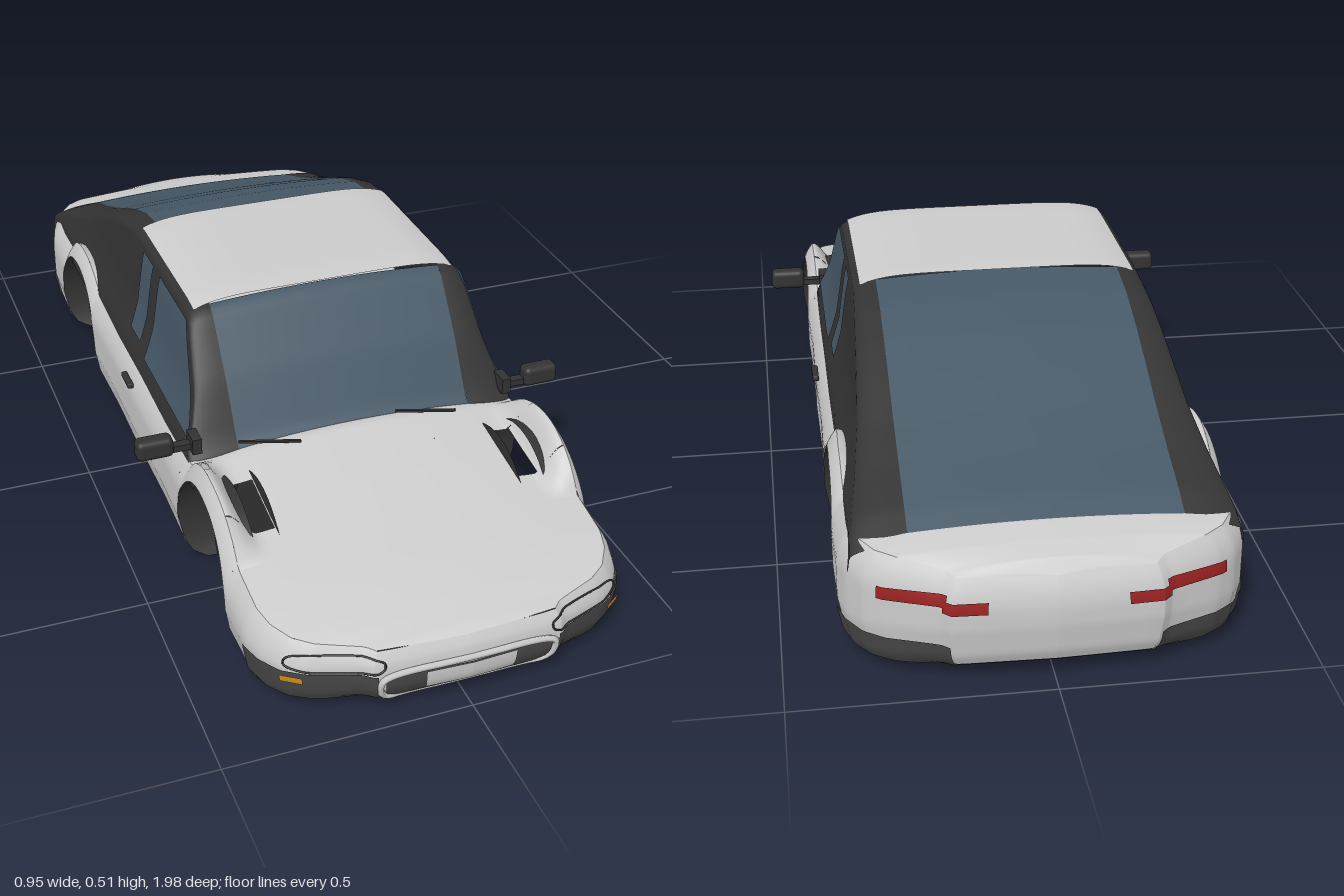
import * as THREE from 'three';
import { RoundedBoxGeometry } from 'three/addons/geometries/RoundedBoxGeometry.js';

const { lerp, clamp, smoothstep } = THREE.MathUtils;
const material = (color) => new THREE.MeshStandardMaterial({ color, side: THREE.DoubleSide });

// Piecewise profile through [position, value] pairs, position ascending
const profile = (pts) => (t) => {
  let i = 1;
  while (i < pts.length - 1 && t > pts[i][0]) i++;
  const [a, b] = [pts[i - 1], pts[i]];
  return lerp(a[1], b[1], clamp((t - a[0]) / (b[0] - a[0]), 0, 1));
};

// Body profiles: plan half width, shoulder height, centre deck height
const corner = [[0.8, 0.39], [0.85, 0.377], [0.9, 0.348], [0.93, 0.31], [0.955, 0.25], [0.97, 0.215], [0.99, 0.195], [1, 0]];
const halfWidth = profile([[0, 0.39], [0.2, 0.388], [0.55, 0.395], [0.7, 0.392], ...corner]);
const zOfX = profile(corner.map(([z, x]) => [x, z]).reverse());
const shoulderBase = profile([[-1, 0.225], [-0.93, 0.25], [-0.86, 0.255], [-0.75, 0.24], [0.4, 0.24],
  [0.55, 0.215], [0.7, 0.195], [0.85, 0.17], [0.95, 0.155], [1, 0.15]]);
const deckCentre = profile([[-1, 0.225], [-0.98, 0.25], [-0.93, 0.262], [-0.86, 0.272], [-0.8, 0.255], [-0.7, 0.24],
  [0.2, 0.24], [0.35, 0.26], [0.4, 0.268], [0.55, 0.243], [0.7, 0.215], [0.8, 0.197], [0.9, 0.178], [0.98, 0.16], [1, 0.15]]);
const tuck = profile([[0, 0.85], [0.015, 0.93], [0.04, 0.97], [0.1, 1]]);

// Wheel arches and the flares above them
const ARCH = 0.525, R = 0.165, CY = 0.097;
const flare = (z) => 0.1 + Math.sqrt(Math.max(0, 0.038 - (Math.abs(z) - ARCH) ** 2));
const shoulder = (z) => Math.max(shoulderBase(z), flare(z));
const bottom = (z) => 0.03 * Math.max(0, (Math.abs(z) - 0.8) / 0.2) ** 2;
const sillTop = (z) => bottom(z) + 0.018;
const archEdge = (c, s, y) => c + s * (y < CY ? Math.sqrt(R * R - (CY - y) ** 2) : R);

// Point on the body side at station z and height y
const zPull = (z, k) => z * (1 - (0.01 + (1 - k) * 0.3) * smoothstep(Math.abs(z), 0.75, 1));
function wall(z, y, off = 0) {
  const k = tuck(y - bottom(z)) * (1 - 0.07 * Math.max(0, 1 - (shoulder(z) - y) / 0.07) ** 2);
  return [halfWidth(Math.abs(z)) * k + off, y, zPull(z, k) * (1 + off)];
}
// Point on bonnet or boot deck, u from centre to shoulder
function deck(z, u) {
  const base = lerp(deckCentre(z), shoulderBase(z), u * u);
  return [halfWidth(Math.abs(z)) * 0.93 * u, base + (shoulder(z) - shoulderBase(z)) * smoothstep(u, 0.82, 1), zPull(z, 0.93)];
}
// Point on the front (end 1) or rear (end -1) face, addressed by x
function face(x, y, end, off) {
  const p = wall(end * zOfX(Math.abs(x)), y, off);
  const spread = off * smoothstep(Math.abs(x), 0.18, 0.3);
  return [Math.sign(x) * (p[0] - off + spread), y, p[2]];
}

// Cabin profiles: roof line by z, side half width by y
const roof = profile([[-0.87, 0.262], [-0.8, 0.295], [-0.7, 0.33], [-0.6, 0.37], [-0.5, 0.415], [-0.4, 0.458], [-0.3, 0.492],
  [-0.2, 0.509], [0.15, 0.51], [0.2, 0.505], [0.22, 0.49], [0.3, 0.385], [0.37, 0.27], [0.42, 0.24]]);
const cabinX = profile([[0.2, 0.372], [0.25, 0.365], [0.3, 0.345], [0.35, 0.33], [0.45, 0.315], [0.48, 0.308]]);

export function createModel() {
  const car = new THREE.Group();
  car.name = 'car';
  const paint = material(0xcccccc), black = material(0x333333), under = material(0x202020);
  const glass = material(0x465866), bumper = material(0x484848), red = material(0x992222), amber = material(0xd89020);

  const add = (name, geometry, mat, x = 0, y = 0, z = 0) => {
    const mesh = new THREE.Mesh(geometry, mat);
    mesh.name = name;
    mesh.position.set(x, y, z);
    car.add(mesh);
    return mesh;
  };
  // Curved panel: a grid whose vertices follow f(u, v)
  const panel = (name, mat, f, nu = 24, nv = 12, side = 1) => {
    const g = new THREE.PlaneGeometry(1, 1, nu, nv), p = g.attributes.position;
    for (let i = 0; i < p.count; i++) {
      const [x, y, z] = f(p.getX(i) + 0.5, p.getY(i) + 0.5);
      p.setXYZ(i, side * x, y, z);
    }
    // Keep the outer side in front on mirrored panels
    if (side < 0) g.index.array.reverse();
    g.computeVertexNormals();
    return add(name, g, mat);
  };
  const pair = (name, mat, f, nu, nv) => [1, -1].forEach((s) => panel(name, mat, f, nu, nv, s));

  // Body sides between the wheel arches and out to both ends
  const zones = [
    ['frontWing', (u) => 1 - (1 - u) ** 2, (y) => archEdge(ARCH, 1, y), () => 1],
    ['door', (u) => u, (y) => archEdge(-ARCH, 1, y), (y) => archEdge(ARCH, -1, y)],
    ['rearWing', (u) => 1 - (1 - u) ** 2, (y) => archEdge(-ARCH, -1, y), () => -1],
  ];
  for (const [name, ease, from, to] of zones) {
    const strip = (lo, hi) => (u, v) => {
      const t = ease(u), z0 = lerp(from(1), to(1), t), y = lerp(lo(z0), hi(z0), v);
      return wall(lerp(from(y), to(y), t), y);
    };
    pair(name, paint, strip(sillTop, shoulder), 48, 20);
    pair(name + 'Sill', under, strip(bottom, sillTop), 48, 3);
  }
  for (const [name, c] of [['frontArch', ARCH], ['rearArch', -ARCH]]) {
    pair(name, paint, (u, v) => {
      const z = c + R * Math.cos(Math.PI * u);
      return wall(z, lerp(CY + R * Math.sin(Math.PI * u), shoulder(z), v));
    }, 40, 12);
    // Liner over the wheel and inner wall of the well
    pair(name + 'Liner', black, (u, v) => {
      const a = lerp(-0.62, Math.PI + 0.62, u), z = c + R * Math.cos(a), y = Math.max(0.001, CY + R * Math.sin(a));
      return [lerp(c > 0 ? 0.315 : 0.262, wall(z, y)[0], v), y, z];
    }, 40, 1);
    pair(name + 'InnerWall', c > 0 ? black : material(0x666666), (u, v) => {
      const z = c + R * Math.cos(Math.PI * u);
      return [0.262, lerp(0.001, CY + R * Math.sin(Math.PI * u), v), z];
    }, 32, 1);
  }
  // Low box edge across the rear wells
  pair('rearFloorEdge', under, (u, v) => [0.33, v * 0.055, -ARCH + (u - 0.5) * 2 * R], 1, 1);

  // Floor, cut away at the front wells
  const floorPart = (z0, z1, width) => pair('floor', under, (u, v) => {
    const z = lerp(z0, z1, u), [x, y, zz] = wall(z, bottom(z));
    return [v * (width ?? x), y, zz];
  }, 32, 2);
  floorPart(1, ARCH + 0.135);
  floorPart(ARCH + 0.135, ARCH - 0.135, 0.262);
  floorPart(ARCH - 0.135, -1);

  // Bonnet and boot deck, with an open slot on each side of the bonnet
  const deckPart = (name, z0, z1, xa, xb, nu) => pair(name, paint, (u, v) => {
    const z = lerp(z0, z1, u), w = halfWidth(Math.abs(z)) * 0.93;
    return deck(z, lerp(xa ? xa / w : 0, xb ? xb / w : 1, v));
  }, nu, 24);
  deckPart('bonnetNose', 1, 0.62, 0, 0, 60);
  deckPart('bonnetCentre', 0.62, 0.48, 0, 0.265, 14);
  deckPart('bonnetEdge', 0.62, 0.48, 0.31, 0, 14);
  deckPart('bonnetRear', 0.48, 0.3, 0, 0, 20);
  deckPart('shelf', 0.3, -0.8, 0, 0, 60);
  deckPart('bootDeck', -0.8, -1, 0, 0, 40);

  // Cabin: centre glass, rounded pillars, sides
  const crown = (z0, z1) => (u, v) => {
    const z = lerp(z0, z1, u), x = lerp(-0.26, 0.26, v);
    return [x, roof(z) - 0.01 * (x / 0.26) ** 2, z];
  };
  panel('windscreen', glass, crown(0.42, 0.19), 24, 12);
  panel('rearWindow', glass, crown(-0.2, -0.87), 40, 12);
  const eaves = (z) => Math.max(0.2, roof(z) - 0.035);
  pair('pillar', black, (u, v) => {
    const z = lerp(0.42, -0.87, u), a = v * Math.PI / 2, e = eaves(z);
    return [lerp(0.26, cabinX(e), Math.sin(a)), lerp(e, roof(z) - 0.01, Math.cos(a)), z];
  }, 90, 8);
  pair('cabinSide', black, (u, v) => {
    const z = lerp(0.42, -0.87, u), y = lerp(0.2, eaves(z), v);
    return [cabinX(y), y, z];
  }, 90, 14);
  panel('roofPanel', paint, (u, v) => {
    const x = lerp(-0.295, 0.295, v), z = lerp(0.195, -0.21, u);
    return [x, roof(z) + 0.005 - 0.02 * (x / 0.295) ** 6, z];
  }, 16, 32);
  // Side windows
  const sideWindow = (name, y0, y1, front, back) => pair(name, glass, (u, v) => {
    const y = lerp(y0, y1, v);
    return [cabinX(y) + 0.004, y, lerp(front(v), back, u)];
  }, 4, 12);
  sideWindow('doorWindow', 0.275, 0.475, (v) => lerp(0.345, 0.205, v), 0);
  sideWindow('quarterWindow', 0.29, 0.475, () => -0.05, -0.13);

  // Flush parts on the front and rear faces
  const onFace = (name, mat, end, x0, x1, y0, y1, off) => pair(name, mat,
    (u, v) => face(lerp(x0, x1, u), lerp(y0, y1, v), end, off), 28, 6);
  onFace('frontBumper', bumper, 1, 0.19, 0.39, 0.03, 0.105, 0.004);
  onFace('rearBumper', bumper, -1, 0.2, 0.39, 0.03, 0.09, 0.004);
  onFace('grille', bumper, 1, 0, 0.175, 0.042, 0.1, 0.005);
  onFace('numberPlate', paint, 1, 0, 0.095, 0.055, 0.1, 0.009);
  onFace('indicator', amber, 1, 0.312, 0.348, 0.083, 0.099, 0.009);
  onFace('tailLightInner', red, -1, 0.13, 0.21, 0.165, 0.188, 0.006);
  onFace('tailLightOuter', red, -1, 0.205, 0.32, 0.175, 0.2, 0.006);

  // Rounded outlines: headlights and grille surround
  const outline = (name, mat, cx, cy, a, b, r, power, s = 1) => {
    const soft = (t) => Math.sign(t) * Math.abs(t) ** power, pts = [];
    for (let i = 0; i < 40; i++) {
      const t = (i + 0.5) / 40 * Math.PI * 2;
      const [x, y, z] = face(cx + a * soft(Math.cos(t)), cy + b * soft(Math.sin(t)), 1, 0.003);
      pts.push(new THREE.Vector3(s * x, y, z));
    }
    add(name, new THREE.TubeGeometry(new THREE.CatmullRomCurve3(pts, true), 100, r, 6, true), mat);
  };
  outline('grilleSurround', paint, 0, 0.071, 0.185, 0.036, 0.007, 0.45);

  for (const s of [1, -1]) {
    outline('headlightOutline', black, 0.262, 0.124, 0.085, 0.017, 0.002, 0.7, s);
    // Door mirrors, handles
    add('mirror', new RoundedBoxGeometry(0.078, 0.045, 0.038, 3, 0.012), black, s * 0.436, 0.284, 0.362);
    add('mirrorArm', new THREE.BoxGeometry(0.07, 0.014, 0.02), black, s * 0.375, 0.274, 0.362);
    add('mirrorMount', new THREE.BoxGeometry(0.02, 0.035, 0.045), black, s * 0.35, 0.278, 0.362);
    add('doorHandle', new RoundedBoxGeometry(0.014, 0.013, 0.062, 2, 0.004), black, s * 0.391, 0.208, -0.032);
  }
  // Wipers resting at the windscreen base
  for (const x of [-0.2, 0.15]) {
    const wiper = add('wiper', new THREE.BoxGeometry(0.13, 0.005, 0.006), black, x, 0.272, 0.405);
    wiper.rotation.set(0, -0.22, -0.06);
  }
  return car;
}
